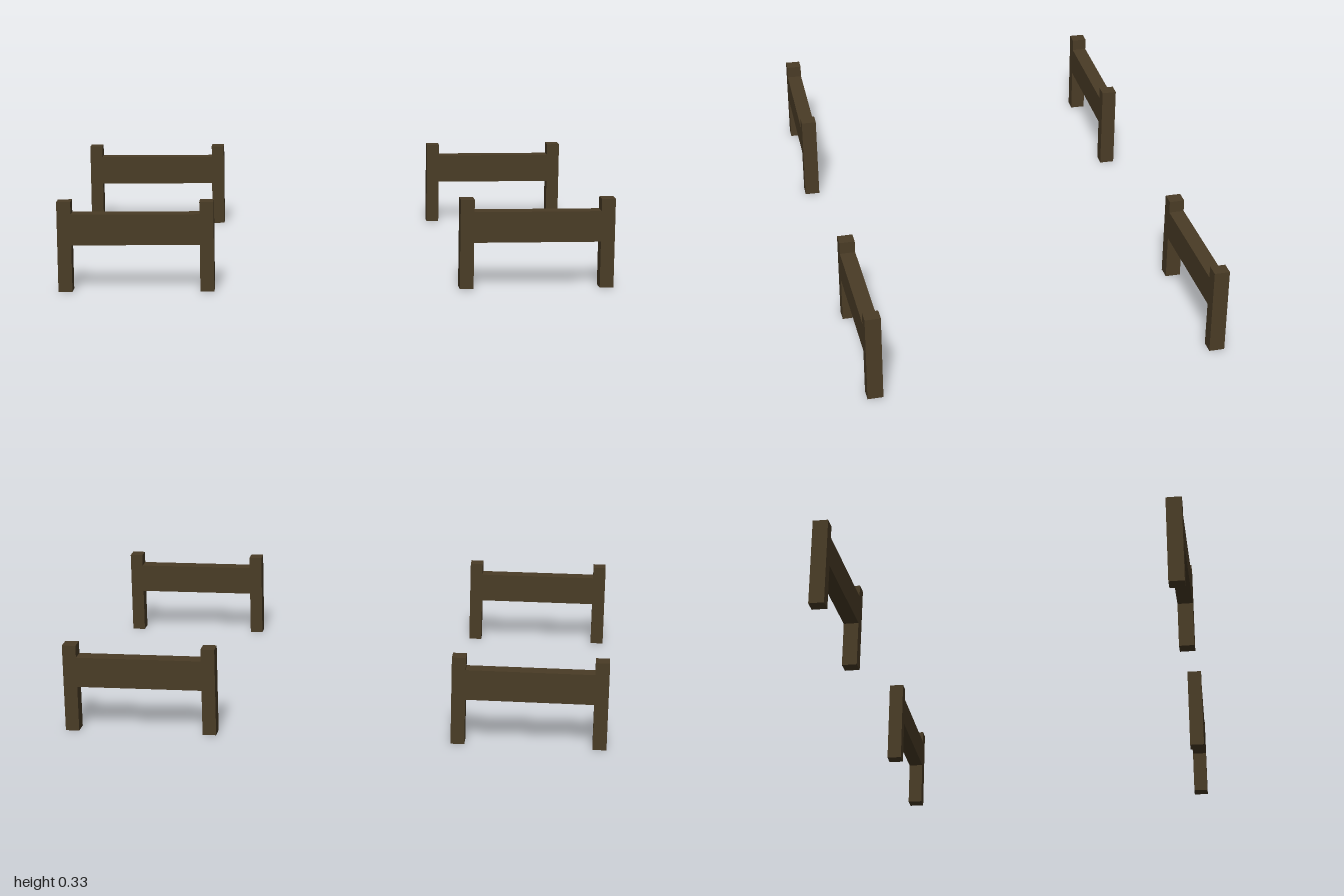
import * as THREE from 'three';

const WIDTH = 0.558, HEIGHT = 0.327, DEPTH = 0.056;
const POST = 0.05, RAIL_BOTTOM = 0.17, RAIL_TOP = 0.282;

// H-shaped outline: two posts joined by a flush rail
function fenceGeometry() {
  const o = WIDTH / 2, i = o - POST;
  const outline = [
    [-o, 0], [-i, 0], [-i, RAIL_BOTTOM], [i, RAIL_BOTTOM], [i, 0], [o, 0],
    [o, HEIGHT], [i, HEIGHT], [i, RAIL_TOP], [-i, RAIL_TOP], [-i, HEIGHT], [-o, HEIGHT],
  ].map(([x, y]) => new THREE.Vector2(x, y));
  const geometry = new THREE.ExtrudeGeometry(new THREE.Shape(outline), { depth: DEPTH, bevelEnabled: false });
  return geometry.translate(0, 0, -DEPTH / 2);
}

export function createModel() {
  const model = new THREE.Group();
  model.name = 'fences';
  const wood = new THREE.MeshStandardMaterial({ color: 0x4a3c26 });
  const geometry = fenceGeometry();

  // Four fence sections; the right-hand pair is turned slightly
  const sections = [
    ['frontLeftFence', 0.72, 0.63, 0],
    ['backLeftFence', 0.718, -0.614, -0.003],
    ['frontRightFence', -0.72, 0.616, -0.03],
    ['backRightFence', -0.695, -0.629, -0.03],
  ];
  for (const [name, x, z, turn] of sections) {
    const fence = new THREE.Mesh(geometry, wood);
    fence.name = name;
    fence.position.set(x, 0, z);
    fence.rotation.y = turn;
    model.add(fence);
  }
  return model;
}
